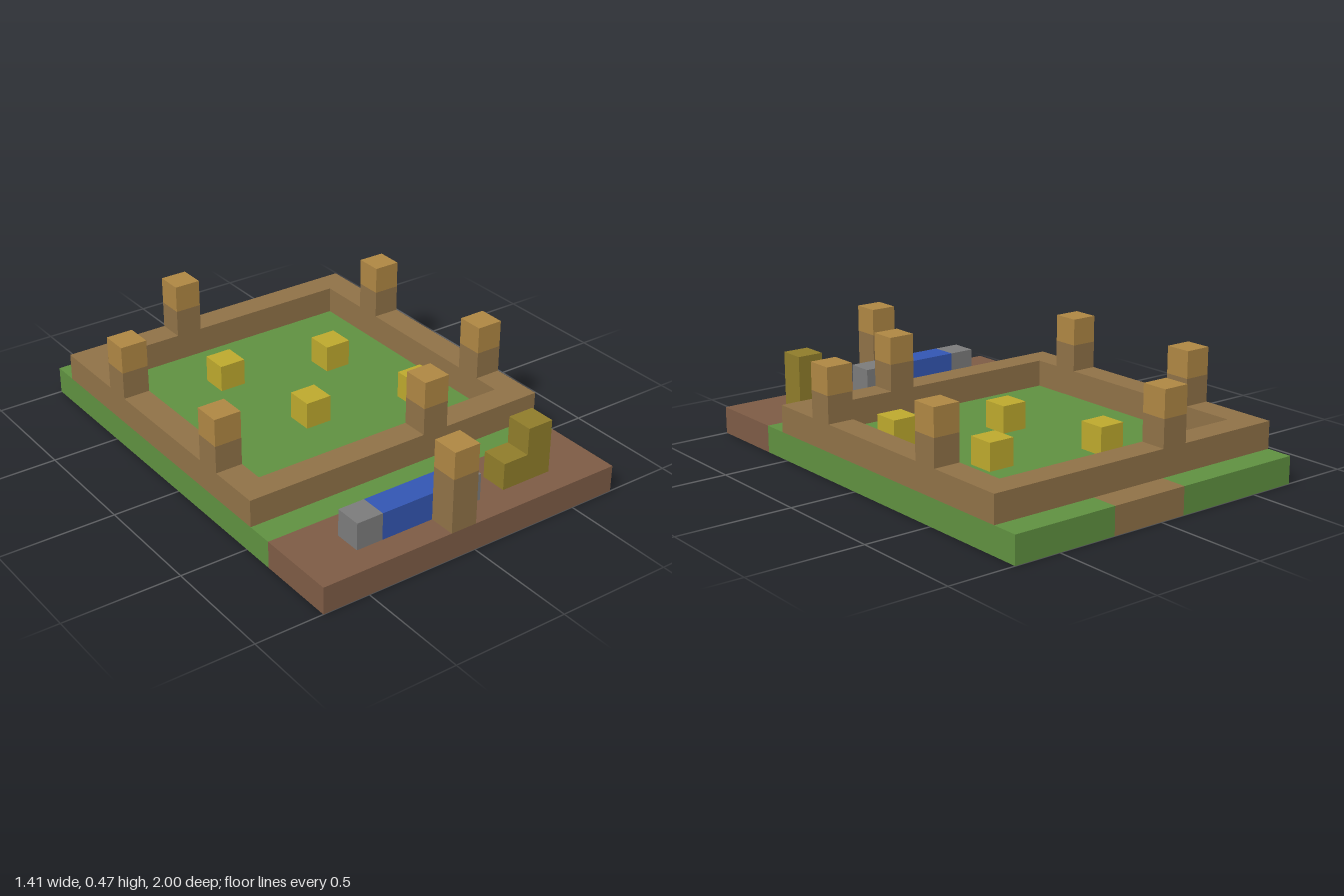
import * as THREE from 'three';

// The model sits on a block grid: 12 wide (x), 17 deep (z), 4 high (y).
const U = 2 / 17;

function mat(name, color) {
  const m = new THREE.MeshStandardMaterial({ color });
  m.name = name;
  return m;
}

export function createModel() {
  const root = new THREE.Group();
  root.name = 'walledGarden';

  const grass = mat('grassGreen', 0x5f9040);
  const dirt = mat('dirtBrown', 0x7d5b45);
  const wood = mat('woodBrown', 0x8f7147);
  const cap = mat('capTan', 0xae8643);
  const gold = mat('cropGold', 0xbca82d);
  const olive = mat('stairOlive', 0x8f7c2a);
  const blue = mat('waterBlue', 0x3356b2);
  const grey = mat('stoneGrey', 0x7b7b7b);

  // Box from grid corner (i, j, k) spanning w x h x d blocks
  function block(name, material, i, j, k, w = 1, h = 1, d = 1, parent = root) {
    const mesh = new THREE.Mesh(new THREE.BoxGeometry(w * U, h * U, d * U), material);
    mesh.name = name;
    mesh.position.set((i + w / 2 - 6) * U, (j + h / 2) * U, (k + d / 2 - 8.5) * U);
    parent.add(mesh);
    return mesh;
  }

  // Ground: lawn, back path between two grass strips, dirt forecourt
  block('lawn', grass, 0, 0, 1, 12, 1, 13);
  block('backGrassRight', grass, 0, 0, 0, 5);
  block('backPath', wood, 5, 0, 0, 3);
  block('backGrassLeft', grass, 8, 0, 0, 4);
  block('forecourt', dirt, 0, 0, 14, 12, 1, 3);

  // Low wall around the lawn
  const wall = new THREE.Group();
  wall.name = 'wall';
  root.add(wall);
  block('wallBack', wood, 0, 1, 1, 12, 1, 1, wall);
  block('wallFront', wood, 0, 1, 12, 12, 1, 1, wall);
  block('wallRight', wood, 0, 1, 2, 1, 1, 10, wall);
  block('wallLeft', wood, 11, 1, 2, 1, 1, 10, wall);

  // Posts with lighter caps: [i, base j, k]
  const posts = [[4, 2, 1], [0, 2, 4], [11, 2, 4], [0, 2, 10], [11, 2, 10], [7, 2, 12], [5, 1, 16]];
  for (const [i, j, k] of posts) {
    const post = new THREE.Group();
    post.name = 'post';
    root.add(post);
    block('postShaft', wood, i, j, k, 1, 3 - j, 1, post);
    block('postCap', cap, i, 3, k, 1, 1, 1, post);
  }

  // Crop blocks on the lawn
  for (const [i, k] of [[4, 4], [8, 5], [5, 8], [9, 9]]) block('cropBlock', gold, i, 1, k);

  // Trough with stone ends
  block('troughEndRight', grey, 2, 1, 15);
  block('troughWater', blue, 3, 1, 15, 3);
  block('troughEndLeft', grey, 6, 1, 15);

  // Two-step stack
  block('lowStep', olive, 8, 1, 15);
  block('highStep', olive, 9, 1, 15, 1, 2);

  return root;
}
